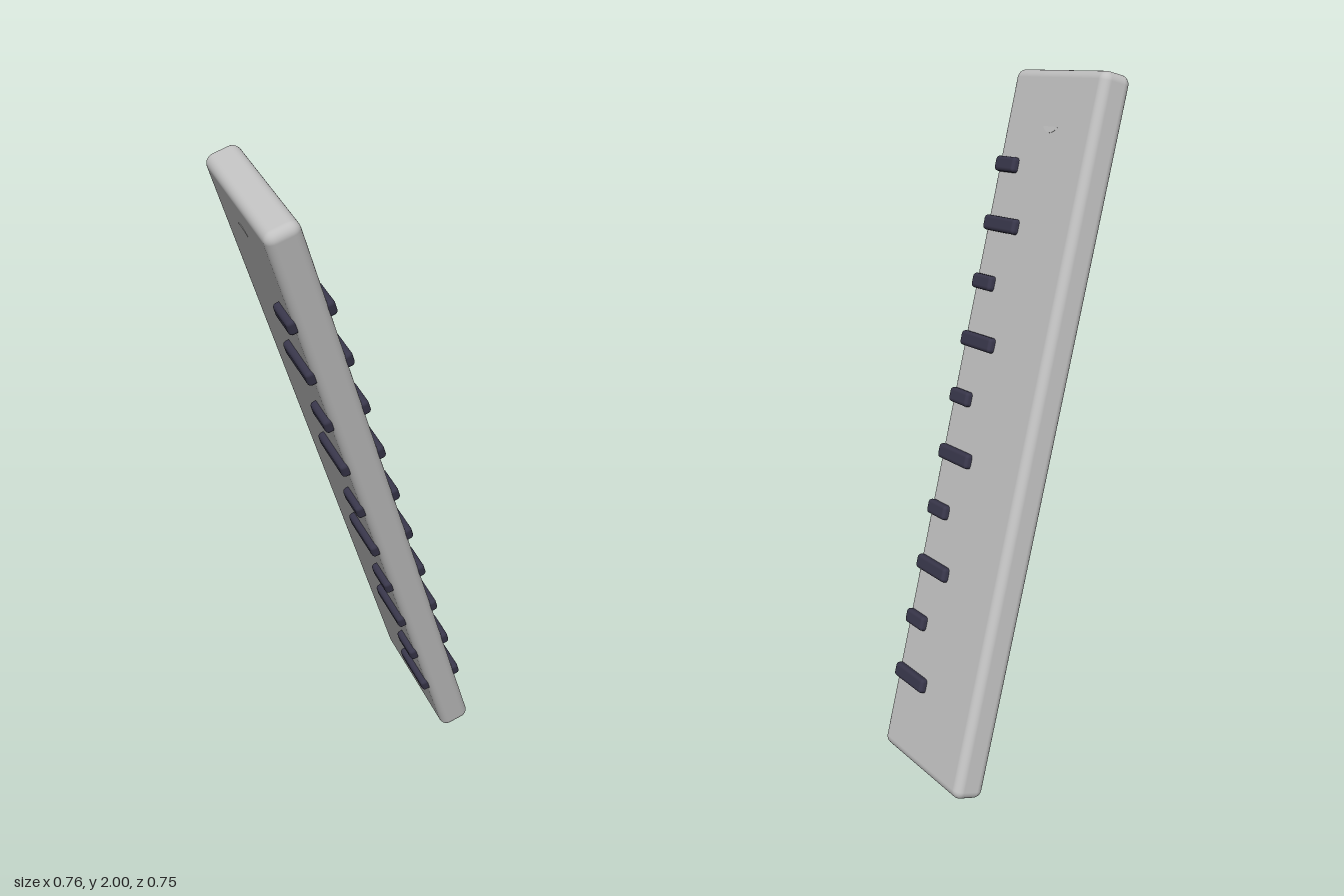
import * as THREE from 'three';
import { RoundedBoxGeometry } from 'three/addons/geometries/RoundedBoxGeometry.js';

export function createModel() {
  const grey = new THREE.MeshStandardMaterial({ color: 0xc0c0c0 });
  grey.name = 'light grey';
  const dark = new THREE.MeshStandardMaterial({ color: 0x38364a });
  dark.name = 'dark slate';

  const model = new THREE.Group();
  model.name = 'ruler';
  const add = (name, geometry, material, x, y, z) => {
    const mesh = new THREE.Mesh(geometry, material);
    mesh.name = name;
    mesh.position.set(x, y, z);
    model.add(mesh);
    return mesh;
  };

  // Flat bar: x is thickness, y is length, z is width
  add('bar', new RoundedBoxGeometry(0.095, 2.065, 0.436, 4, 0.026), grey, 0, 0, 0);

  // Alternating short and long marks, running through to both faces
  for (let i = 0; i < 10; i++) {
    const length = i % 2 ? 0.1 : 0.163;
    const geometry = new RoundedBoxGeometry(0.133, 0.044, length, 2, 0.011);
    add(i % 2 ? 'shortMark' : 'longMark', geometry, dark, 0, -0.79 + i * 0.1717, 0.205 - length / 2);
  }

  // Slightly tilted plug, barely rising from the faces near the upper end
  const plug = add('plug', new THREE.CylinderGeometry(0.045, 0.045, 0.09, 24), grey, 0, 0.895, -0.015);
  plug.rotation.z = Math.PI / 2 + 0.1;

  // Lean the whole ruler
  const along = new THREE.Vector3(-0.324, 0.932, 0.159).normalize();
  const forward = new THREE.Vector3(0.035, -0.153, 0.988);
  const side = new THREE.Vector3().crossVectors(along, forward).normalize();
  forward.crossVectors(side, along);
  model.quaternion.setFromRotationMatrix(new THREE.Matrix4().makeBasis(side, along, forward));
  model.position.y = 1;

  const root = new THREE.Group();
  root.name = 'leaningRuler';
  root.add(model);
  return root;
}
